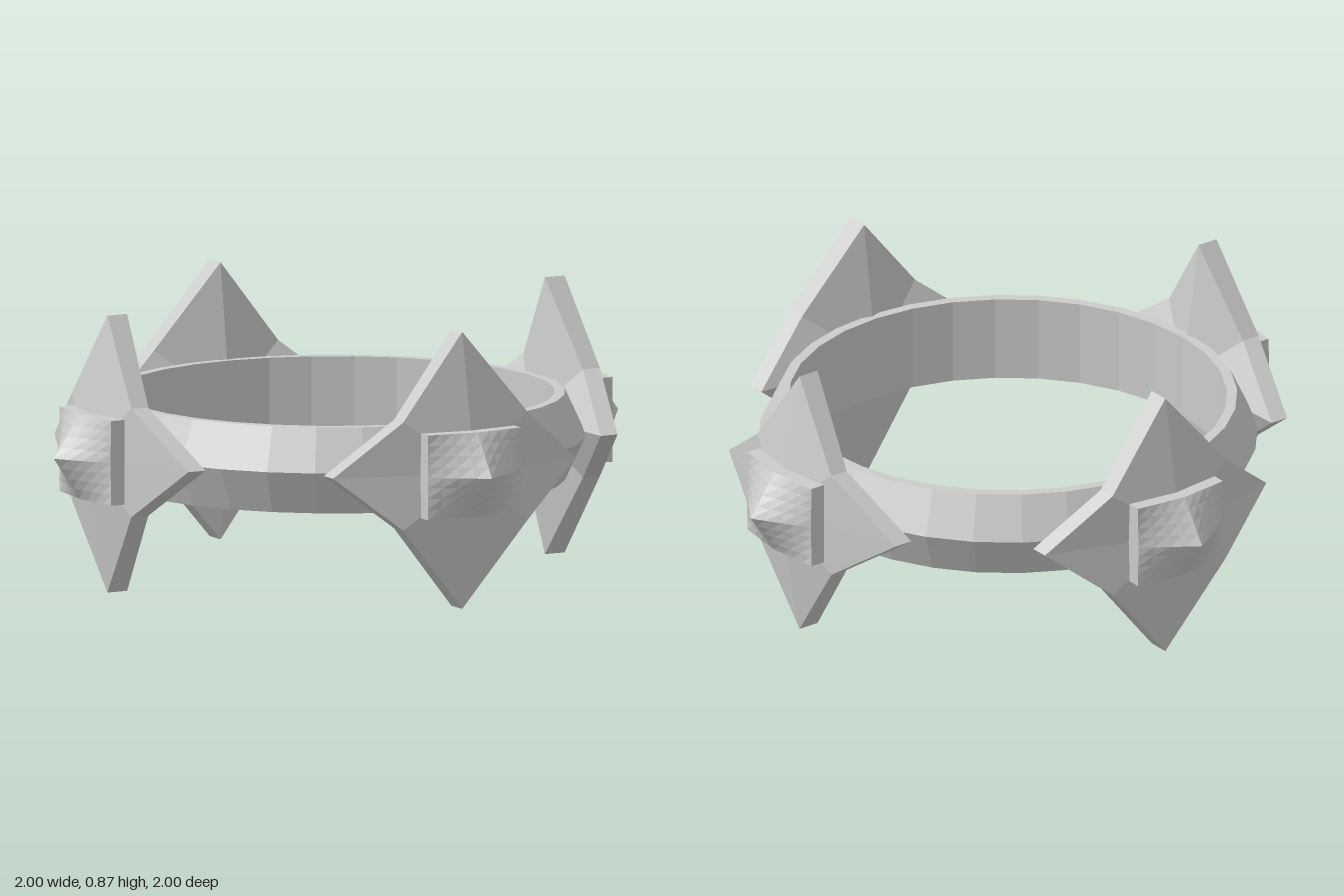
import * as THREE from 'three';

const MID_Y = 0.44;
const metal = new THREE.MeshStandardMaterial({ color: 0xcccccc, flatShading: true });

function addMesh(parent, name, geometry) {
  const mesh = new THREE.Mesh(geometry, metal);
  mesh.name = name;
  parent.add(mesh);
  return mesh;
}

// Band: flat inside, ridged outside
function bandGeometry() {
  const profile = [[0.68, -0.135], [0.712, -0.135], [0.775, 0], [0.712, 0.135], [0.68, 0.135], [0.68, -0.135]];
  return new THREE.LatheGeometry(profile.map(([r, y]) => new THREE.Vector2(r, y)), 32);
}

// Star plate: eight-point outline, front and back faces rising to a centre
function plateGeometry(waist) {
  // x, y, front z, back z for one quarter turn pair
  const tip = [0, 0.435, 0.81, 0.74];
  const notch = [waist, 0.17, 0.83, 0.77];
  const side = [0.43, 0, 0.76, 0.70];
  const flip = ([x, y, f, b], sx, sy) => [x * sx, y * sy, f, b];
  // counter-clockwise seen from the front
  const outline = [
    side, notch, tip, flip(notch, -1, 1),
    flip(side, -1, 1), flip(notch, -1, -1), flip(tip, 1, -1), flip(notch, 1, -1),
  ];
  const n = outline.length;
  const positions = [
    ...outline.flatMap(([x, y, f]) => [x, y, f]),
    ...outline.flatMap(([x, y, , b]) => [x, y, b]),
    0, 0, 0.89,
    0, 0, 0.68,
  ];
  const index = [];
  for (let i = 0; i < n; i++) {
    const j = (i + 1) % n;
    index.push(2 * n, i, j); // front
    index.push(2 * n + 1, n + j, n + i); // back
    index.push(i, n + i, n + j, i, n + j, j); // rim
  }
  const geometry = new THREE.BufferGeometry();
  geometry.setAttribute('position', new THREE.Float32BufferAttribute(positions, 3));
  geometry.setIndex(index);
  geometry.computeVertexNormals();
  return geometry;
}

// Stud: rectangular block whose front face is drawn up to a point
function studGeometry() {
  const w = 0.165, h = 0.133;
  const geometry = new THREE.BoxGeometry(2 * w, 2 * h, 1, 8, 8, 1);
  const p = geometry.attributes.position;
  for (let i = 0; i < p.count; i++) {
    const u = Math.abs(p.getX(i)) / w;
    const v = Math.abs(p.getY(i)) / h;
    const peak = (1 - v) * (1 - u + 0.89 * u) + v * (0.908 * (1 - u) + 0.888 * u);
    p.setZ(i, p.getZ(i) > 0 ? peak : 0.84);
  }
  geometry.computeVertexNormals();
  return geometry;
}

export function createModel() {
  const model = new THREE.Group();
  model.name = 'studdedRing';

  addMesh(model, 'band', bandGeometry()).position.y = MID_Y;

  // Four ornaments, a quarter turn apart
  const stud = studGeometry();
  ['front', 'left', 'back', 'right'].forEach((place, i) => {
    const ornament = new THREE.Group();
    ornament.name = place + 'Ornament';
    addMesh(ornament, 'starPlate', plateGeometry(i % 2 ? 0.19 : 0.22));
    addMesh(ornament, 'stud', stud);
    ornament.position.y = MID_Y;
    ornament.rotation.y = (i * Math.PI) / 2;
    model.add(ornament);
  });

  return model;
}
